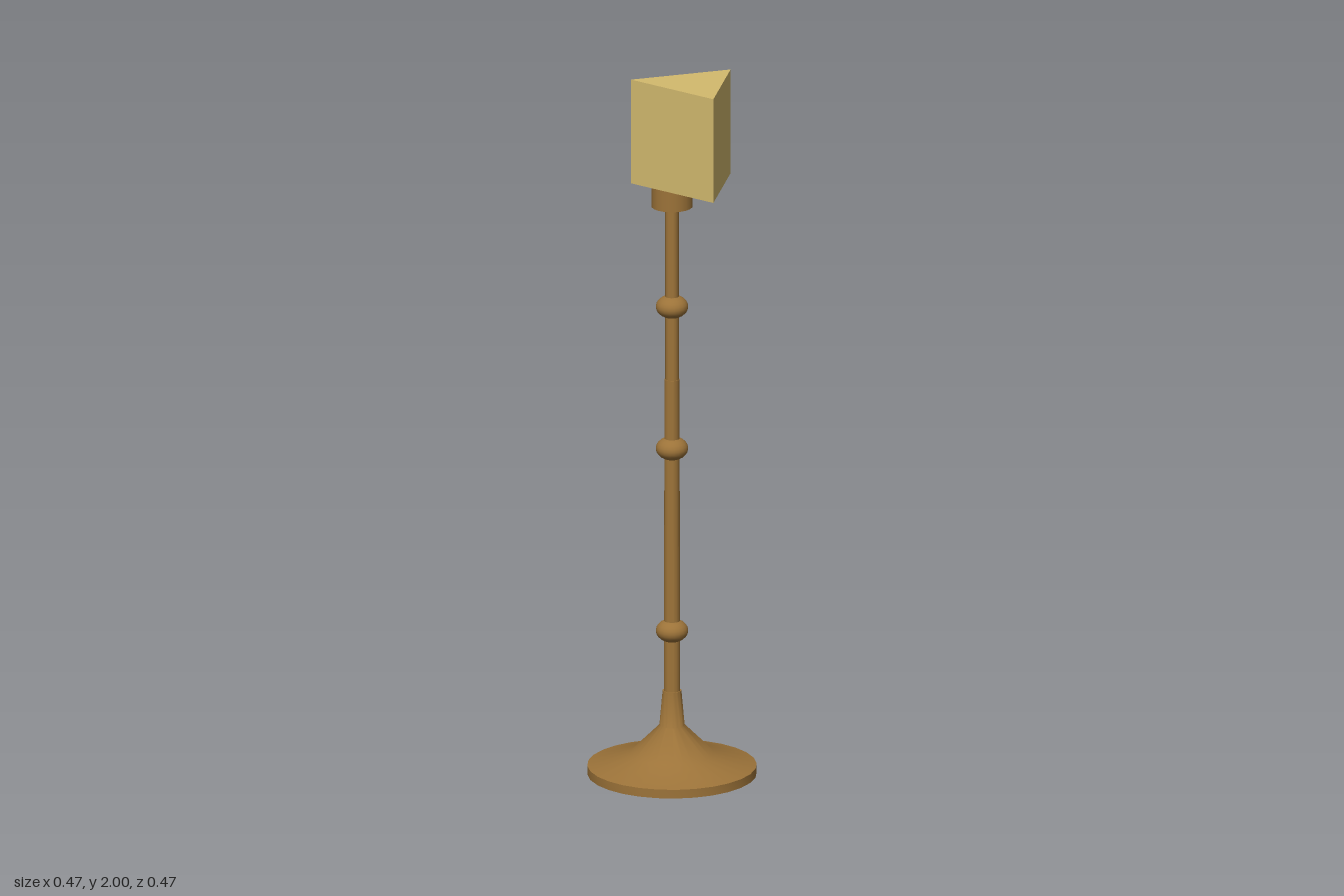
import * as THREE from 'three';
import { toCreasedNormals } from 'three/addons/utils/BufferGeometryUtils.js';

export function createModel() {
  const group = new THREE.Group();
  const wood = new THREE.MeshStandardMaterial({ color: 0x9c7339 });
  wood.name = 'brownWood';
  const pale = new THREE.MeshStandardMaterial({ color: 0xd3ba6e });
  pale.name = 'paleGold';

  const add = (name, geometry, material, y = 0) => {
    const mesh = new THREE.Mesh(geometry, material);
    mesh.name = name;
    mesh.position.y = y;
    group.add(mesh);
    return mesh;
  };
  const turned = (points, sides) => toCreasedNormals(
    new THREE.LatheGeometry(points.map(([r, y]) => new THREE.Vector2(r, y)), sides), 0.75);

  // Flared round foot rising into a tapered neck
  add('foot', turned([[0, 0], [0.234, 0], [0.234, 0.025], [0.115, 0.06],
    [0.035, 0.14], [0.026, 0.24], [0, 0.24]], 28), wood);

  // Stem in two thicknesses
  add('lowerStem', turned([[0.023, 0.22], [0.021, 1.14], [0, 1.14]], 16), wood);
  add('upperStem', turned([[0.019, 1.13], [0.019, 1.66]], 16), wood);

  // Flattened ring beads along the stem
  for (const y of [0.413, 0.94, 1.35]) {
    add('bead', new THREE.SphereGeometry(0.045, 20, 12).scale(1, 0.73, 1), wood, y);
  }

  // Collar under the head
  add('collar', new THREE.CylinderGeometry(0.057, 0.057, 0.06, 20), wood, 1.67);

  // Triangular head, pointed towards -x
  const triangle = new THREE.Shape([
    new THREE.Vector2(-0.115, 0), new THREE.Vector2(0.14, -0.139), new THREE.Vector2(0.14, 0.139)]);
  const head = new THREE.ExtrudeGeometry(triangle, { depth: 0.3, bevelEnabled: false });
  add('triangularHead', head.rotateX(-Math.PI / 2), pale, 1.7);

  return group;
}
